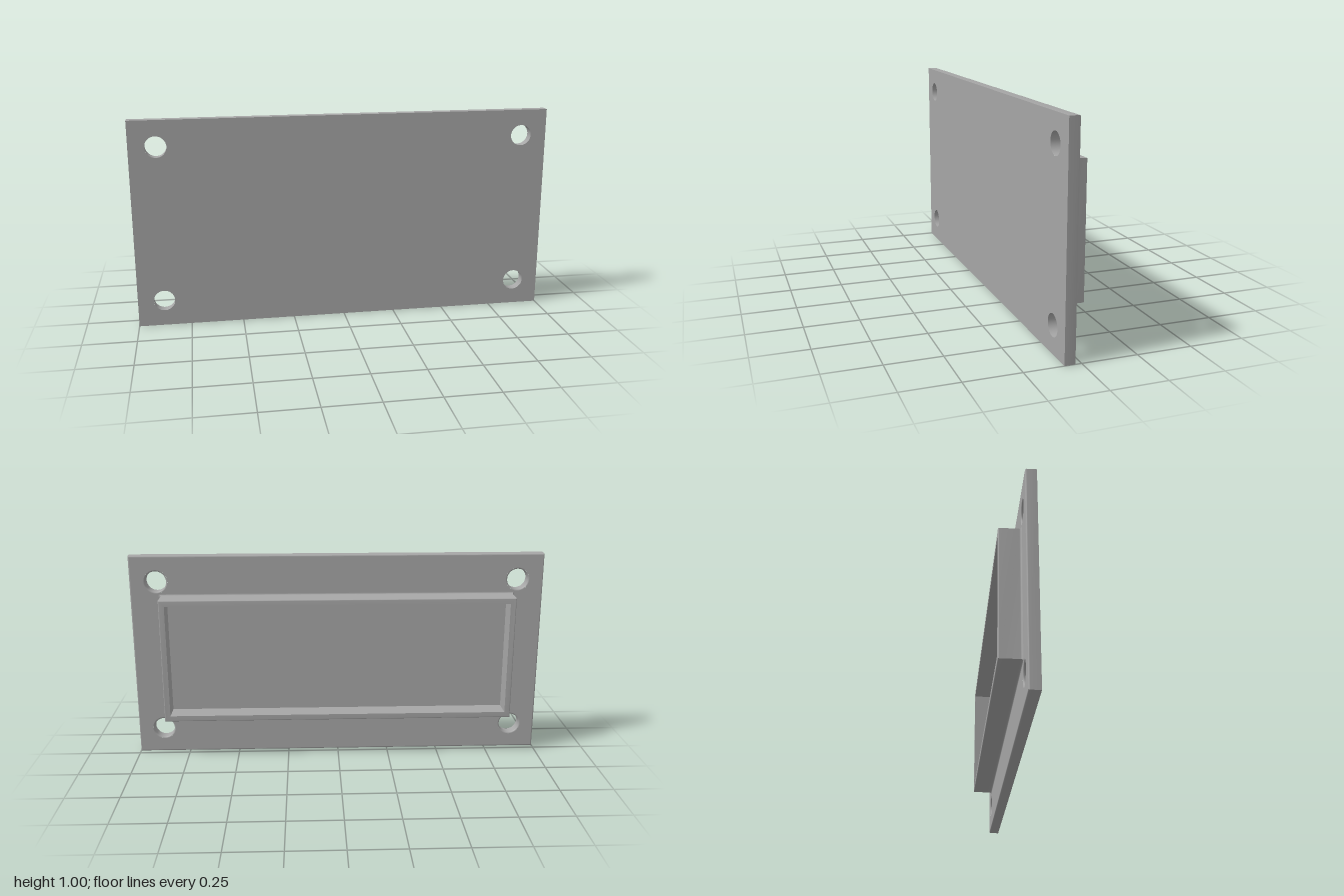
import * as THREE from 'three';
import { toCreasedNormals } from 'three/addons/utils/BufferGeometryUtils.js';

const FRONT = 0.075, BACK = 0.025, RIM_TOP = -0.075;
const ROUND = 0.007, HOLE_R = 0.05;
const HOLES = [[0.875, 0.375], [-0.875, 0.375], [-0.875, -0.375], [0.875, -0.375]];

// Points [offset, z] on an arc, angles in quarter turns
function arc(cx, cz, r, from, to, steps = 4) {
  return Array.from({ length: steps + 1 }, (_, i) => {
    const a = (from + (to - from) * i / steps) * Math.PI / 2;
    return [cx + r * Math.cos(a), cz + r * Math.sin(a)];
  });
}

// Sweep an [offset, z] profile around a rectangle with mitred corners
function sweepRectangle(halfW, halfH, profile) {
  const corners = [[1, -1], [1, 1], [-1, 1], [-1, -1]];
  const scale = 1000; // keeps tiny roundings distinct while creasing
  const pos = [];
  const point = (i, c) => {
    const [d, z] = profile[i], [sx, sy] = corners[c % 4];
    return [sx * (halfW + d) * scale, sy * (halfH + d) * scale, z * scale];
  };
  for (let c = 0; c < 4; c++) {
    for (let i = 0; i < profile.length - 1; i++) {
      const a = point(i, c), b = point(i + 1, c), e = point(i + 1, c + 1), f = point(i, c + 1);
      pos.push(...a, ...b, ...e, ...a, ...e, ...f);
    }
  }
  const geo = new THREE.BufferGeometry();
  geo.setAttribute('position', new THREE.Float32BufferAttribute(pos, 3));
  return toCreasedNormals(geo, 0.6).scale(1 / scale, 1 / scale, 1 / scale);
}

// Flat rectangle pierced by the four screw holes
function piercedFace(halfW, halfH, r) {
  const shape = new THREE.Shape([
    new THREE.Vector2(-halfW, -halfH), new THREE.Vector2(halfW, -halfH),
    new THREE.Vector2(halfW, halfH), new THREE.Vector2(-halfW, halfH),
  ]);
  for (const [x, y] of HOLES) {
    shape.holes.push(new THREE.Path().absarc(x, y, r, 0, Math.PI * 2, true));
  }
  return new THREE.ShapeGeometry(shape, 48);
}

export function createModel() {
  const model = new THREE.Group();
  model.name = 'coverPlate';
  const body = new THREE.Group();
  body.name = 'body';
  body.position.y = 0.5;
  model.add(body);

  const grey = new THREE.MeshStandardMaterial({ color: 0xa6a6a6 });
  grey.name = 'plain grey';
  const add = (name, geo) => {
    const mesh = new THREE.Mesh(geo, grey);
    mesh.name = name;
    body.add(mesh);
    return mesh;
  };

  // Plate: flat front, back with softened border and hole edges
  add('plateFront', piercedFace(1, 0.5, HOLE_R)).position.z = FRONT;
  const back = add('plateBack', piercedFace(1 - ROUND, 0.5 - ROUND, HOLE_R + ROUND));
  back.rotation.y = Math.PI;
  back.position.z = BACK;
  add('plateEdge', sweepRectangle(1, 0.5, [
    [0, FRONT], ...arc(-ROUND, BACK + ROUND, ROUND, 0, -1),
  ]));

  // Screw hole walls, flared at the back
  const wall = [[HOLE_R, FRONT], ...arc(HOLE_R + ROUND, BACK + ROUND, ROUND, 2, 3)];
  const holeGeo = new THREE.LatheGeometry(wall.map(([r, z]) => new THREE.Vector2(r, z)), 48);
  holeGeo.rotateX(Math.PI / 2);
  for (const [x, y] of HOLES) add('screwHole', holeGeo).position.set(x, y, 0);

  // Raised rim: fillet at the foot, rounded outer lip, straight inner wall
  const foot = 0.01, lip = 0.005, thickness = 0.028;
  add('rim', sweepRectangle(0.853, 0.304, [
    ...arc(foot, BACK - foot, foot, 1, 2),
    ...arc(-lip, RIM_TOP + lip, lip, 0, -1),
    [-thickness, RIM_TOP],
    [-thickness, BACK],
  ]));

  return model;
}
